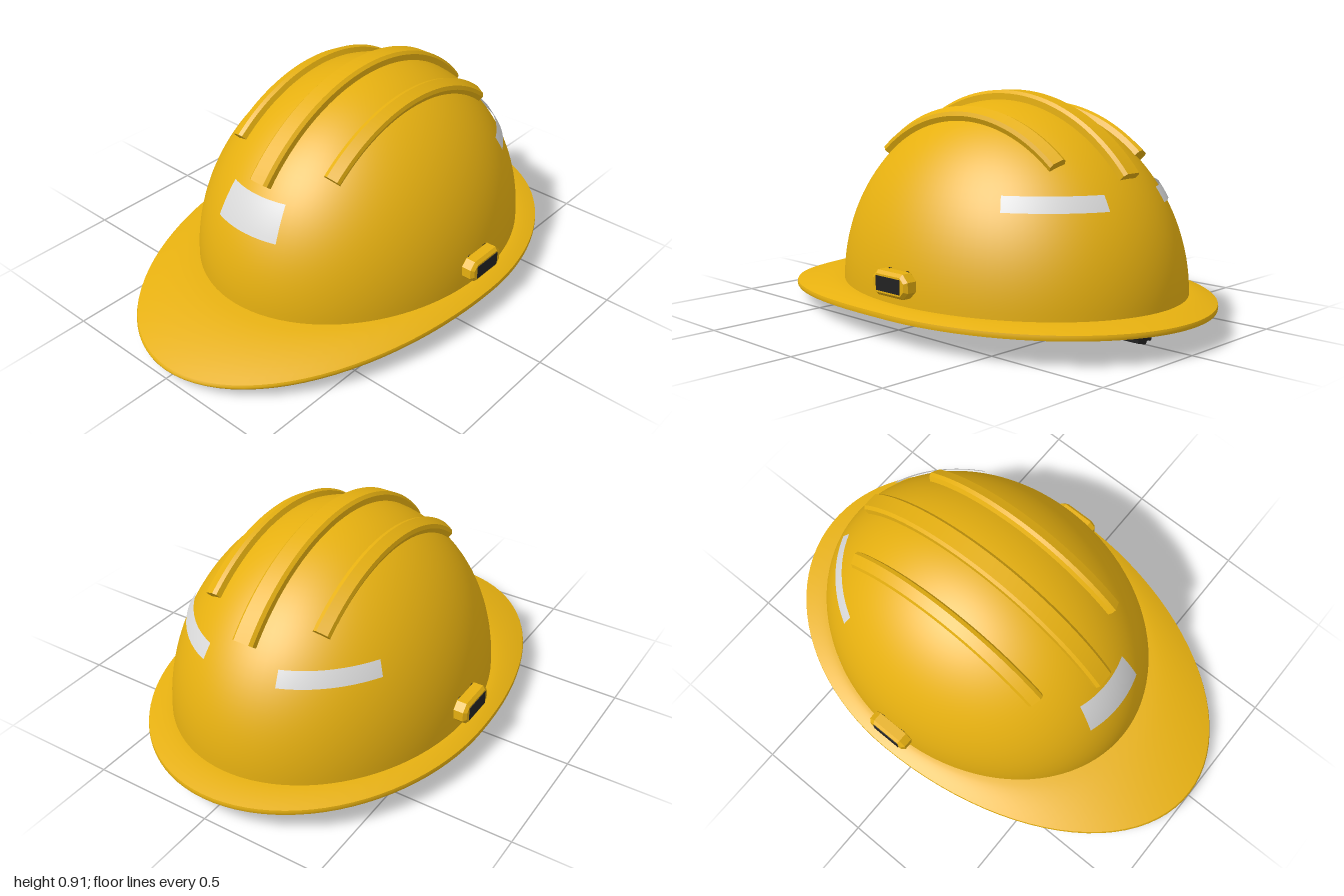
import * as THREE from 'three';
import { toCreasedNormals } from 'three/addons/utils/BufferGeometryUtils.js';

const V = (x, y, z) => new THREE.Vector3(x, y, z);
const BASE = 0.13, ZC = -0.12;           // dome base height and centre
const A = 0.61, B = 0.74, C = 0.755;     // dome radii in x, y, z
const lerp = THREE.MathUtils.lerp;

// Point on the dome: phi runs round from the front, lat up from the base
function dome(phi, lat, off = 0) {
  const p = V(A * Math.cos(lat) * Math.sin(phi), B * Math.sin(lat), C * Math.cos(lat) * Math.cos(phi));
  const n = V(p.x / A ** 2, p.y / B ** 2, p.z / C ** 2).normalize();
  return p.addScaledVector(n, off).add(V(0, BASE, ZC));
}

// Point on the brim: k = 0 at the dome, 1 at the outer edge
function brim(phi, k, drop = 0) {
  const c = Math.cos(phi), s = Math.sin(phi);
  const edge = 0.117 - 0.062 * Math.pow(Math.max(0, c), 1.5);
  const front = c > 0 ? 1.12 : 0.88;
  return V(lerp(A, 0.68, k) * s, lerp(0.138, edge, Math.pow(k, 1.5)) - drop, ZC + lerp(C, front, k) * c);
}

// Surface from fn(u, v), optionally closed in u
function grid(fn, nu, nv, closed = false) {
  const pos = [], index = [], cols = closed ? nu : nu + 1;
  for (let j = 0; j <= nv; j++)
    for (let i = 0; i < cols; i++) pos.push(...fn(i / nu, j / nv).toArray());
  for (let j = 0; j < nv; j++)
    for (let i = 0; i < nu; i++) {
      const a = j * cols + i, b = j * cols + (i + 1) % cols;
      index.push(a, b, b + cols, a, b + cols, a + cols);
    }
  const g = new THREE.BufferGeometry();
  g.setAttribute('position', new THREE.Float32BufferAttribute(pos, 3));
  g.setIndex(index);
  g.computeVertexNormals();
  return g;
}

// Sweep a convex section along path(t) with outward direction normal(t)
function sweep(path, normal, t0, t1, steps, section) {
  const n = section.length;
  const g = grid((u, v) => {
    const t = lerp(t0, t1, v), [s, h] = section[Math.round(u * n) % n];
    const T = path(t + 1e-3).sub(path(t - 1e-3)).normalize();
    const N = normal(t).normalize(), S = N.clone().cross(T).normalize();
    return path(t).addScaledVector(S, s).addScaledVector(N, h);
  }, n, steps, true);
  const index = [...g.index.array], last = steps * n;
  for (let k = 1; k < n - 1; k++) index.push(0, k + 1, k, last, last + k, last + k + 1);
  g.setIndex(index);
  return toCreasedNormals(g, 0.5);
}

const rect = (a, b) => [[-a, -b], [a, -b], [a, b], [-a, b]];

// Block with cut corners, extruded along z
function cutBlock(w, h, cut, depth, bevel) {
  const pts = [[w, h - cut], [w - cut, h], [cut - w, h], [-w, h - cut],
    [-w, cut - h], [cut - w, -h], [w - cut, -h], [w, cut - h]];
  const shape = new THREE.Shape(pts.map(p => new THREE.Vector2(...p)));
  return new THREE.ExtrudeGeometry(shape, {
    depth, bevelEnabled: bevel > 0, bevelSize: bevel, bevelThickness: bevel, bevelSegments: 1,
  });
}

export function createModel() {
  const model = new THREE.Group();
  model.name = 'hardHat';
  const mat = (name, color, side = THREE.FrontSide) => {
    const m = new THREE.MeshStandardMaterial({ color, side });
    m.name = name;
    return m;
  };
  const yellow = mat('yellow shell', 0xe6b010);
  const grey = mat('reflective grey', 0xd8d8d8, THREE.DoubleSide);
  const dark = mat('dark harness', 0x222222);
  const add = (name, geometry, material) => {
    const m = new THREE.Mesh(geometry, material);
    m.name = name;
    model.add(m);
    return m;
  };
  const ring = Math.PI * 2, top = Math.PI / 2;

  // Shell, outside and inside
  add('domeOutside', grid((u, v) => dome(u * ring, v * top), 96, 32, true), yellow);
  add('domeInside', grid((u, v) => dome(u * ring, (1 - v) * top, -0.02), 96, 32, true), yellow);

  // Brim with a rounded edge
  add('brimTop', grid((u, v) => brim(u * ring, 0.985 * (1 - v)), 96, 8, true), yellow);
  add('brimUnderside', grid((u, v) => v === 0
    ? dome(u * ring, 0, -0.02) : brim(u * ring, 0.985 * (v * 8 - 1) / 7, 0.02), 96, 8, true), yellow);
  add('brimEdge', grid((u, v) => brim(u * ring, 0.985 + 0.015 * Math.sin(v * Math.PI), 0.02 * (1 - v)),
    96, 4, true), yellow);

  // Three raised ribs running front to back
  const rib = (name, x, half, reach, h) => {
    const f = Math.sqrt(1 - (x / A) ** 2), c = 0.012;
    const path = t => V(x, BASE + B * f * Math.cos(t), ZC + C * f * Math.sin(t));
    const normal = t => V(x / A ** 2, f * Math.cos(t) / B, f * Math.sin(t) / C);
    const section = [[-half, -0.02], [half, -0.02], [half, h - c], [half - c, h], [c - half, h], [-half, h - c]];
    add(name, sweep(path, normal, -reach, reach, 40, section), yellow);
  };
  rib('centreRib', 0, 0.045, 0.88, 0.035);
  rib('leftRib', 0.237, 0.034, 0.7, 0.033);
  rib('rightRib', -0.237, 0.034, 0.7, 0.033);

  // Reflective patches
  const patch = (name, p0, p1, l0, l1) =>
    add(name, grid((u, v) => dome(lerp(p0, p1, u), lerp(l0, l1, v), 0.009), 20, 8), grey);
  patch('frontReflector', -0.27, 0.27, 0.432, 0.637);
  patch('backLeftReflector', Math.PI - 0.98, Math.PI - 0.305, 0.523, 0.612);
  patch('backRightReflector', Math.PI + 0.305, Math.PI + 0.98, 0.523, 0.612);

  // Accessory slots on each side
  for (const s of [1, -1]) {
    const side = s > 0 ? 'left' : 'right';
    const place = (m, x) => {
      m.rotation.y = s * Math.PI / 2;
      m.position.set(s * x, 0.22, ZC);
    };
    place(add(side + 'SlotFrame', cutBlock(0.084, 0.035, 0.02, 0.04, 0.012), yellow), 0.6);
    place(add(side + 'SlotOpening', new THREE.BoxGeometry(0.13, 0.055, 0.008), dark), 0.651);
    place(add(side + 'SlotMount', cutBlock(0.075, 0.05, 0.02, 0.045, 0), dark), 0.553);
  }

  // Headband and front sweat pad
  const bandPath = y => t => V(0.5 * Math.sin(t), y, ZC + 0.6 * Math.cos(t));
  const bandNormal = t => V(Math.sin(t) / 0.5, 0, Math.cos(t) / 0.6);
  add('headband', sweep(bandPath(0.12), bandNormal, 0, ring, 72, rect(0.05, 0.008)), dark);
  add('sweatPad', sweep(bandPath(0.115), bandNormal, -0.93, 0.93, 32, rect(0.055, 0.018)), dark);

  // Two crossing crown straps
  for (const phi of [0.7, -0.7]) {
    const path = t => V(0.49 * Math.cos(t) * Math.sin(phi), 0.12 + 0.6 * Math.sin(t),
      ZC + 0.59 * Math.cos(t) * Math.cos(phi));
    add('crownStrap', sweep(path, t => path(t).sub(V(0, 0.12, ZC)), 0, Math.PI, 40, rect(0.045, 0.006)), dark);
  }

  // Toothed adjuster knob at the back
  const teeth = 12, pts = [];
  for (let i = 0; i < teeth * 4; i++) {
    const a = -Math.PI / 2 + (i - 0.5) * ring / (teeth * 4), r = i % 4 < 2 ? 0.0705 : 0.061;
    pts.push(new THREE.Vector2(r * Math.cos(a), r * Math.sin(a)));
  }
  const knob = add('adjusterKnob',
    new THREE.ExtrudeGeometry(new THREE.Shape(pts), { depth: 0.09, bevelEnabled: false }), dark);
  knob.position.set(0, 0.07, -0.795);

  return model;
}
